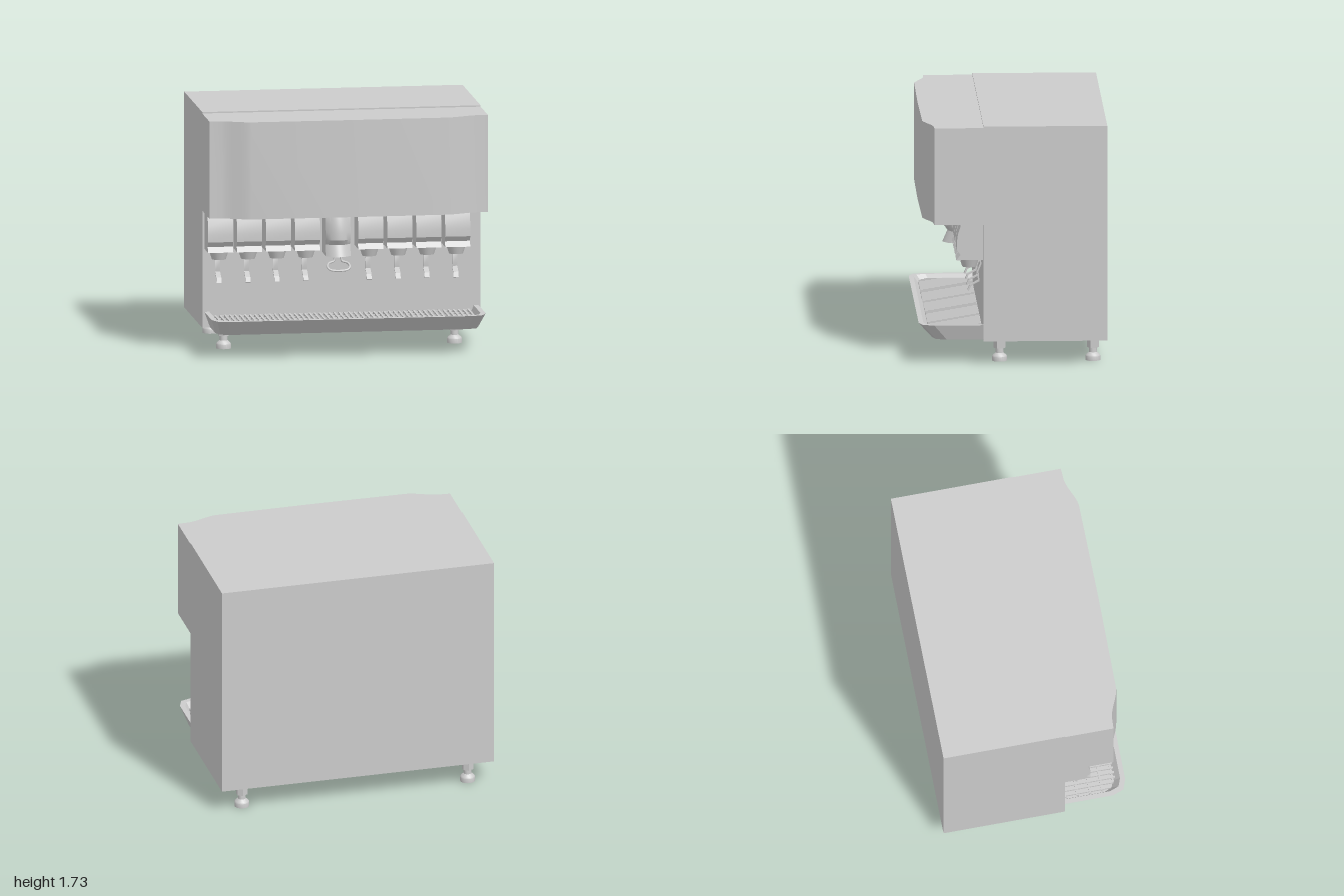
import * as THREE from 'three';
import { toCreasedNormals } from 'three/addons/utils/BufferGeometryUtils.js';

const mat = new THREE.MeshStandardMaterial({ color: 0xcccccc });
const matDouble = new THREE.MeshStandardMaterial({ color: 0xcccccc, side: THREE.DoubleSide });
const WALL = 0.21; // front face of the cabinet

function add(parent, name, geo, x = 0, y = 0, z = 0, material = mat) {
  const m = new THREE.Mesh(geo, material);
  m.name = name;
  m.position.set(x, y, z);
  parent.add(m);
  return m;
}

function box(parent, name, x0, x1, y0, y1, z0, z1) {
  return add(parent, name, new THREE.BoxGeometry(x1 - x0, y1 - y0, z1 - z0),
    (x0 + x1) / 2, (y0 + y1) / 2, (z0 + z1) / 2);
}

// Skin between successive open rings of [x, y, z] points
function loft(rings, crease = 0.5) {
  const pos = [];
  for (let i = 0; i < rings.length - 1; i++) {
    for (let j = 0; j < rings[i].length - 1; j++) {
      const a = rings[i][j], b = rings[i][j + 1], c = rings[i + 1][j + 1], d = rings[i + 1][j];
      pos.push(...a, ...b, ...c, ...a, ...c, ...d);
    }
  }
  const g = new THREE.BufferGeometry();
  g.setAttribute('position', new THREE.Float32BufferAttribute(pos, 3));
  return toCreasedNormals(g, crease);
}

// Extrude a (z, y) side profile across the width, centred on x = 0
function sideExtrude(points, width) {
  const shape = new THREE.Shape(points.map(p => new THREE.Vector2(p[0], p[1])));
  const g = new THREE.ExtrudeGeometry(shape, { depth: width, bevelEnabled: false });
  g.translate(0, 0, -width / 2).rotateY(-Math.PI / 2);
  return toCreasedNormals(g, 0.5);
}

// Upper hood: plan outline with an S-curved step near each end
function buildHood(parent) {
  const half = [];
  for (let i = 0; i <= 8; i++) {
    const t = i / 8, s = t * t * (3 - 2 * t);
    half.push([0.91 - 0.2 * t, 0.565 + 0.07 * (0.5 * t + 0.5 * s)]);
  }
  const front = [[1, 0.56], ...half, [0, 0.64], ...half.map(p => [-p[0], p[1]]).reverse(), [-1, 0.56]];
  const outline = [[1, WALL], ...front, [-1, WALL]];
  const shape = new THREE.Shape(outline.map(p => new THREE.Vector2(p[0], -p[1])).reverse());
  const g = new THREE.ExtrudeGeometry(shape, { depth: 0.7, bevelEnabled: false });
  g.rotateX(-Math.PI / 2);
  add(parent, 'hood', toCreasedNormals(g, 0.5), 0, 1.015, 0);
}

// Drip tray: flared shell, rim, sunken floor and grille
function buildTray(parent) {
  const tray = new THREE.Group();
  tray.name = 'dripTray';
  parent.add(tray);
  const ring = (y, pts) => [...pts, ...pts.map(p => [-p[0], p[1]]).reverse()].map(p => [p[0], y, p[1]]);
  const flat = r => r.map(p => [p[0], p[1], WALL]);
  const bottom = ring(0.175, [[0.945, WALL], [0.945, 0.47], [0.92, 0.545], [0.85, 0.57]]);
  const top = ring(0.285, [[0.985, WALL], [0.985, 0.56], [0.955, 0.64], [0.88, 0.667]]);
  const inner = ring(0.285, [[0.95, WALL], [0.95, 0.545], [0.925, 0.61], [0.865, 0.633]]);
  const floor = ring(0.22, [[0.925, WALL], [0.925, 0.51], [0.9, 0.565], [0.85, 0.585]]);
  add(tray, 'trayShell', loft([flat(bottom), bottom, top, inner, floor, flat(floor)], 0.1), 0, 0, 0, matDouble);

  const count = 52;
  for (let i = 0; i < count; i++) {
    const x = -0.91 + 1.82 * i / (count - 1);
    const end = 0.6 - Math.max(0, Math.abs(x) - 0.85) * 0.7;
    box(tray, 'grilleSlat', x - 0.007, x + 0.007, 0.245, 0.262, 0.22, end);
  }
  for (const z of [0.225, 0.315, 0.405, 0.495, 0.58]) {
    const w = z > 0.55 ? 0.87 : 0.925;
    box(tray, 'grilleRail', -w, w, 0.235, 0.255, z - 0.008, z + 0.008);
  }
}

// Dispensing valve: moulded cover, nozzle and push lever
const coverProfile = [[0.3, 1.015], [0.345, 1.005], [0.37, 0.985], [0.388, 0.93], [0.396, 0.87],
  [0.396, 0.815], [0.37, 0.778], [0.4, 0.74]];
const leverPath = [[0.232, 0.745], [0.23, 0.7], [0.25, 0.65], [0.243, 0.578], [0.303, 0.545], [0.318, 0.51]];

function buildValve(parent, x) {
  const valve = new THREE.Group();
  valve.name = 'valve';
  valve.position.x = x;
  parent.add(valve);
  add(valve, 'valveCover', sideExtrude([[WALL, 0.74], [WALL, 1.015], ...coverProfile], 0.18));
  add(valve, 'nozzle', new THREE.CylinderGeometry(0.07, 0.05, 0.06, 20), 0, 0.71, 0.305);
  const back = leverPath.map(p => [p[0] - 0.011, p[1] - 0.004]).reverse();
  add(valve, 'lever', sideExtrude([...leverPath, ...back], 0.036));
}

// Centre valve: bowed cover with a wire loop lever
function buildCentreValve(parent, x) {
  const valve = new THREE.Group();
  valve.name = 'centreValve';
  valve.position.x = x;
  parent.add(valve);
  const profile = [[WALL, 1.015], ...coverProfile.slice(0, -1), [0.405, 0.697], [WALL, 0.697]];
  const rings = [];
  const n = 14;
  for (let i = 0; i <= n; i++) {
    const u = -1 + 2 * i / n;
    const bow = 0.055 * (1 - u * u);
    rings.push(profile.map(([z, y]) => [u * 0.09, y, z > WALL ? z + bow : z]));
  }
  const flat = r => r.map(p => [p[0], p[1], WALL]);
  add(valve, 'bowedCover', loft([flat(rings[0]), ...rings, flat(rings[n])]), 0, 0, 0, matDouble);

  const half = [[0.022, 0.7, 0.235], [0.022, 0.66, 0.245], [0.03, 0.635, 0.25], [0.068, 0.622, 0.262],
    [0.08, 0.6, 0.285], [0.06, 0.58, 0.306]];
  const pts = [...half, ...half.map(p => [-p[0], p[1], p[2]]).reverse()].map(p => new THREE.Vector3(...p));
  const curve = new THREE.CatmullRomCurve3(pts);
  add(valve, 'loopLever', new THREE.TubeGeometry(curve, 64, 0.008, 8), 0.02, 0, 0);
}

// Levelling foot: hexagonal collar above a turned pad
function buildFoot(parent, x, z) {
  const foot = new THREE.Group();
  foot.name = 'foot';
  foot.position.set(x, 0, z);
  parent.add(foot);
  const collar = new THREE.CylinderGeometry(0.042, 0.042, 0.08, 6).toNonIndexed();
  collar.computeVertexNormals();
  add(foot, 'footCollar', collar, 0, 0.132, 0);
  const pts = [[0, 0], [0.053, 0], [0.053, 0.032], [0.047, 0.042], [0.028, 0.058], [0.027, 0.1]];
  const pad = new THREE.LatheGeometry(pts.map(p => new THREE.Vector2(p[0], p[1])), 20);
  add(foot, 'footPad', toCreasedNormals(pad, 0.6));
}

export function createModel() {
  const model = new THREE.Group();
  model.name = 'drinkDispenser';

  box(model, 'cabinet', -1, 1, 0.17, 1.725, -0.67, WALL);
  buildHood(model);
  buildTray(model);

  for (let i = 0; i < 4; i++) {
    buildValve(model, -0.895 + i * 0.208);
    buildValve(model, 0.185 + i * 0.208);
  }
  buildCentreValve(model, -0.05);

  for (const x of [-0.83, 0.83]) for (const z of [0.09, -0.575]) buildFoot(model, x, z);
  return model;
}
